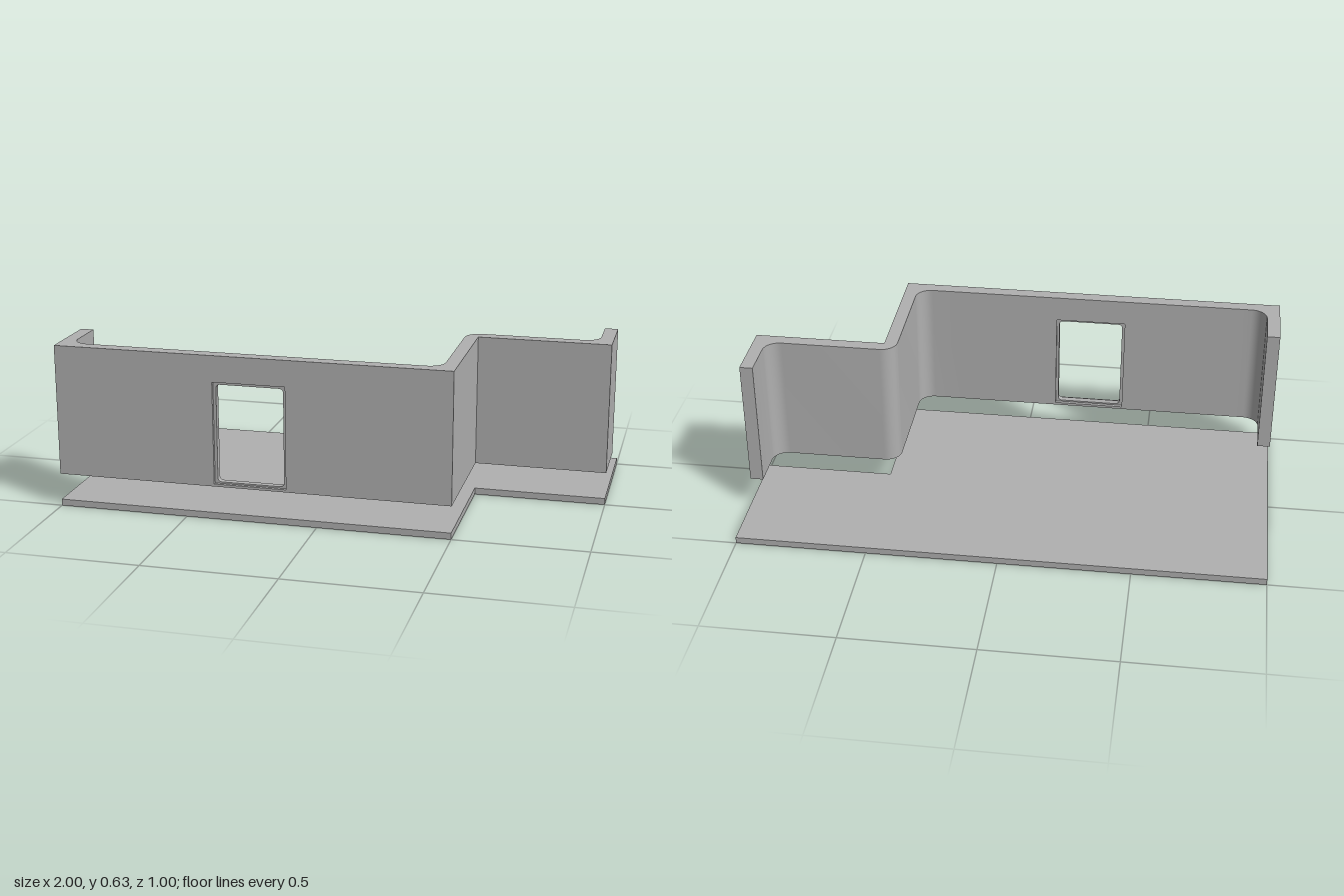
import * as THREE from 'three';
import { toCreasedNormals } from 'three/addons/utils/BufferGeometryUtils.js';

const FLOOR_H = 0.025, WALL_Y0 = 0.127, WALL_Y1 = 0.627, FILLET = 0.06;

// Closed outline from [x, y, cornerRadius] points; radius is optional.
function outline(points, Type = THREE.Shape) {
  const path = new Type();
  const n = points.length;
  points.forEach(([x, y, r = 0], i) => {
    const p = new THREE.Vector2(x, y);
    const toward = (q) => new THREE.Vector2(q[0], q[1]).sub(p).normalize();
    const u = toward(points[(i + n - 1) % n]), v = toward(points[(i + 1) % n]);
    const a = p.clone().addScaledVector(u, r), b = p.clone().addScaledVector(v, r);
    if (i === 0) path.moveTo(a.x, a.y);
    else path.lineTo(a.x, a.y);
    if (r > 0) {
      const k = r * 0.4477;
      const c = p.clone().addScaledVector(u, k), d = p.clone().addScaledVector(v, k);
      path.bezierCurveTo(c.x, c.y, d.x, d.y, b.x, b.y);
    }
  });
  path.closePath();
  return path;
}

function rect(x0, y0, x1, y1, r = 0, Type = THREE.Shape) {
  return outline([[x0, y0, r], [x1, y0, r], [x1, y1, r], [x0, y1, r]], Type);
}

function extrude(shape, depth) {
  const geo = new THREE.ExtrudeGeometry(shape, { depth, bevelEnabled: false, curveSegments: 10 });
  return toCreasedNormals(geo, 0.5);
}

// Extrudes a floor plan given in x and z between two heights.
function planSolid(points, y0, y1) {
  return extrude(outline(points), y1 - y0).rotateX(Math.PI / 2).translate(0, y1, 0);
}

export function createModel() {
  const model = new THREE.Group();
  model.name = 'cornerWallSection';
  const grey = new THREE.MeshStandardMaterial({ color: 0xb0b0b0 });
  grey.name = 'plain grey';

  const add = (name, geometry) => {
    const mesh = new THREE.Mesh(geometry, grey);
    mesh.name = name;
    model.add(mesh);
  };

  // Stepped floor slab
  add('floor', planSolid([[-1, -0.5], [1, -0.5], [1, 0], [0.5, 0], [0.5, 0.5], [-1, 0.5]], 0, FLOOR_H));

  // Short return wall with a filleted inner corner
  add('leftEndWall', planSolid([
    [-1, 0.24], [-0.95, 0.24], [-0.95, 0.45, FILLET], [-0.85, 0.45], [-0.85, 0.5], [-1, 0.5],
  ], WALL_Y0, WALL_Y1));

  // Stepped wall: sharp outside, filleted inside
  add('steppedWall', planSolid([
    [0.25, 0.5], [0.25, 0.45], [0.45, 0.45, FILLET], [0.45, -0.05, FILLET], [0.95, -0.05, FILLET],
    [0.95, -0.25], [1, -0.25], [1, 0], [0.5, 0], [0.5, 0.5],
  ], WALL_Y0, WALL_Y1));

  // Front panel with a rectangular window opening
  const panel = rect(-0.85, WALL_Y0, 0.25, WALL_Y1);
  panel.holes.push(rect(-0.39, 0.137, -0.115, 0.527, 0, THREE.Path));
  add('frontWall', extrude(panel, 0.05).translate(0, 0, 0.45));

  // Thin window frame set in the middle of the opening
  const frame = rect(-0.39, 0.137, -0.115, 0.527);
  frame.holes.push(rect(-0.379, 0.143, -0.125, 0.516, 0.015, THREE.Path));
  add('windowFrame', extrude(frame, 0.025).translate(0, 0, 0.4625));

  return model;
}
